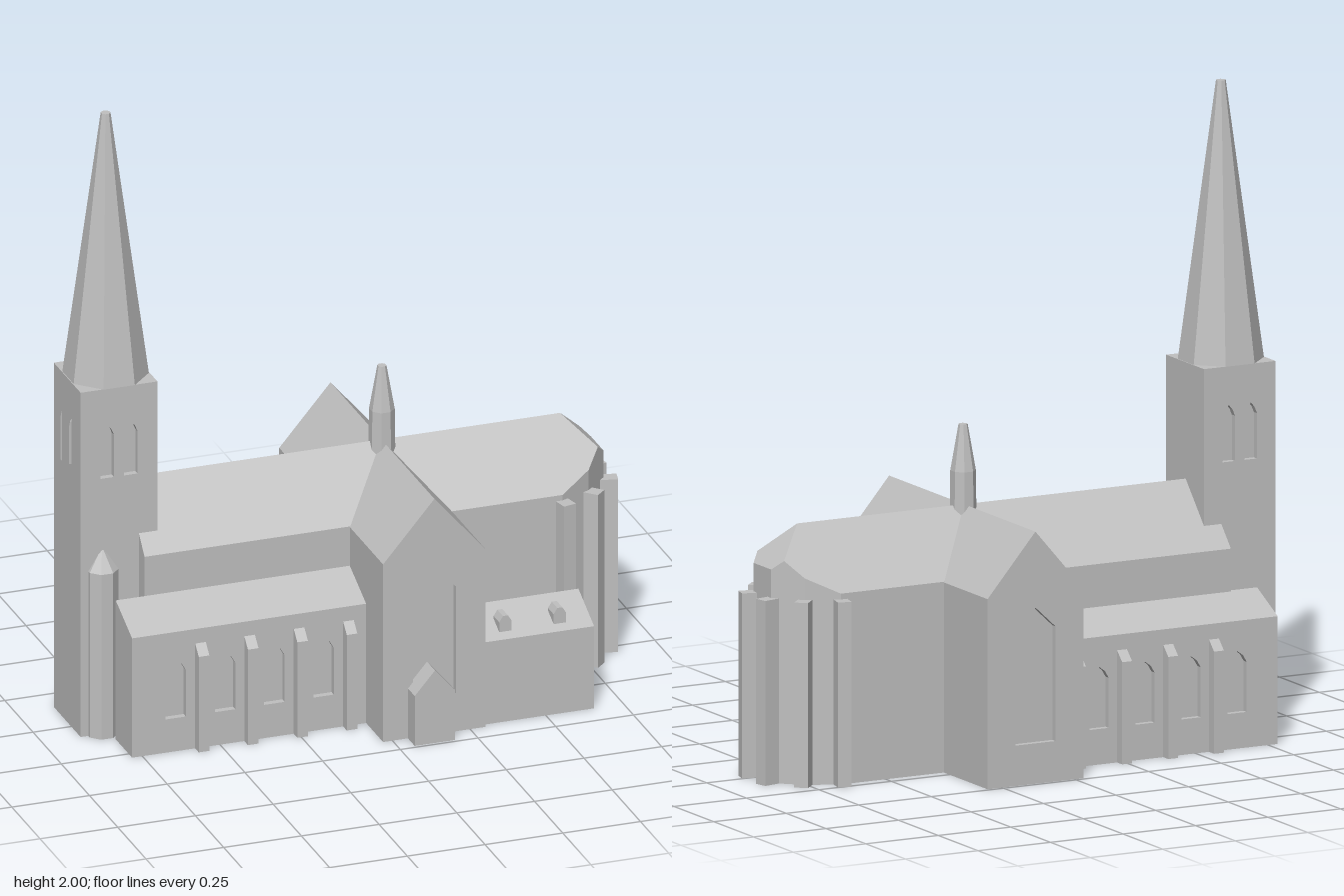
import * as THREE from 'three';

const stone = new THREE.MeshStandardMaterial({ color: 0xc0c0c0 });
stone.name = 'pale stone';

const AXIS = -0.04;   // z of the nave ridge
const CROSS = 0.135;  // x of the transept ridge
const RECESS = 0.02;  // depth of the window niches

export function createModel() {
  const model = new THREE.Group();
  model.name = 'church';

  function add(name, geometry) {
    const flat = geometry.index ? geometry.toNonIndexed() : geometry;
    flat.computeVertexNormals();
    const mesh = new THREE.Mesh(flat, stone);
    mesh.name = name;
    model.add(mesh);
    return mesh;
  }
  const polygon = (pts) => new THREE.Shape(pts.map(([a, b]) => new THREE.Vector2(a, b)));
  const extrude = (shape, depth) => new THREE.ExtrudeGeometry(shape, { depth, bevelEnabled: false });

  // (x, y) outline with optional holes, running from z0 to z1
  function alongZ(name, pts, z0, z1, holes = []) {
    const shape = polygon(pts);
    shape.holes = holes.map(polygon);
    return add(name, extrude(shape, z1 - z0).translate(0, 0, z0));
  }
  // (z, y) outline with optional holes, running from x0 to x1
  function alongX(name, pts, x0, x1, holes = []) {
    const turn = (list) => polygon(list.map(([z, y]) => [-z, y]));
    const shape = turn(pts);
    shape.holes = holes.map(turn);
    return add(name, extrude(shape, x1 - x0).rotateY(Math.PI / 2).translate(x0, 0, 0));
  }
  function box(name, x0, x1, y0, y1, z0, z1) {
    return add(name, new THREE.BoxGeometry(x1 - x0, y1 - y0, z1 - z0)
      .translate((x0 + x1) / 2, (y0 + y1) / 2, (z0 + z1) / 2));
  }
  function octagon(name, x, z, y0, y1, r0, r1) {
    return add(name, new THREE.CylinderGeometry(r1, r0, y1 - y0, 8)
      .rotateY(Math.PI / 8).translate(x, (y0 + y1) / 2, z));
  }
  const rect = (a0, a1, b0, b1) => [[a0, b0], [a1, b0], [a1, b1], [a0, b1]];
  const gable = (a0, a1, eave, peak) => [[a0, 0], [a1, 0], [a1, eave], [(a0 + a1) / 2, peak], [a0, eave]];
  // pointed-arch opening
  const lancet = (c, w, sill, spring, peak) => {
    const h = w / 2, m = spring + (peak - spring) * 0.6;
    return [[c - h, sill], [c + h, sill], [c + h, spring], [c + h * 0.6, m], [c, peak], [c - h * 0.6, m], [c - h, spring]];
  };

  // Nave and choir: gabled body ending in a faceted apse with a hipped roof
  const outline = [[-0.69, 0.175], [0.655, 0.175], [0.755, 0.13], [0.801, 0.084], [0.83, 0.055]];
  const roofY = (x, d) => Math.min(0.78 - d * 1.086, 0.78 - Math.max(0, x - 0.71));
  const low = (i, s) => [outline[i][0], 0, AXIS + s * outline[i][1]];
  const high = (i, s) => [outline[i][0], roofY(...outline[i]), AXIS + s * outline[i][1]];
  const ridgeWest = [-0.69, 0.78, AXIS], ridgeEast = [0.71, 0.78, AXIS];
  const positions = [];
  const face = (pts) => {
    for (let i = 1; i < pts.length - 1; i++) positions.push(...pts[0], ...pts[i], ...pts[i + 1]);
  };
  for (const s of [1, -1]) {
    const side = (pts) => face(s > 0 ? pts : pts.reverse());
    for (let i = 0; i < 4; i++) side([low(i, s), low(i + 1, s), high(i + 1, s), high(i, s)]);
    side([high(0, s), high(1, s), high(2, s), high(3, s), ridgeEast, ridgeWest]);
  }
  face([low(0, -1), low(0, 1), high(0, 1), ridgeWest, high(0, -1)]);
  face([low(4, 1), low(4, -1), high(4, -1), high(4, 1)]);
  face([ridgeEast, high(3, 1), high(4, 1), high(4, -1), high(3, -1)]);
  const order = [0, 1, 2, 3, 4];
  face([...order.map((i) => low(i, 1)), ...order.map((i) => low(i, -1)).reverse()].reverse());
  const body = new THREE.BufferGeometry();
  body.setAttribute('position', new THREE.Float32BufferAttribute(positions, 3));
  add('naveAndApse', body);

  // Apse buttresses, turned outwards at each wall corner
  for (const s of [1, -1]) {
    for (const [x, d, angle] of [[0.655, 0.175, 1.36], [0.755, 0.13, 0.8], [0.83, 0.055, 0.22]]) {
      add('apseButtress', new THREE.BoxGeometry(0.08, 0.572, 0.043)
        .rotateY(-s * angle)
        .translate(x + 0.002 * Math.cos(angle), 0.286, AXIS + s * (d + 0.002 * Math.sin(angle))));
    }
  }

  // Transept with a tall niche in each end wall
  const transept = gable(-0.03, 0.3, 0.588, 0.78);
  const tall = [[0.066, 0.125], [0.204, 0.125], [0.204, 0.48], [CROSS, 0.545], [0.066, 0.48]];
  alongZ('transept', transept, -0.49 + RECESS, 0.43 - RECESS);
  alongZ('transeptFrontWall', transept, 0.43 - RECESS, 0.43, [tall]);
  alongZ('transeptBackWall', transept, -0.49, -0.49 + RECESS, [tall]);

  // Porch
  alongZ('porch', gable(0.05, 0.18, 0.165, 0.24), 0.42, 0.49);

  // Aisles with lean-to roofs, lancet niches and sloped buttresses
  for (const [s, inner, outer] of [[1, 0.135, 0.28], [-1, -0.21, -0.34]]) {
    const core = outer - s * RECESS;
    alongX('aisle', [[inner, 0], [core, 0], [core, 0.395], [outer, 0.395], [inner, 0.46]], -0.783, -0.02);
    const windows = [-0.643, -0.484, -0.325, -0.167].map((x) => lancet(x, 0.066, 0.11, 0.265, 0.302));
    alongZ('aisleWall', rect(-0.783, -0.02, 0, 0.395), Math.min(core, outer), Math.max(core, outer), windows);
    for (const x of [-0.563, -0.405, -0.246, -0.087]) {
      const tip = outer + s * 0.032;
      alongX('aisleButtress', [[outer, 0], [tip, 0], [tip, 0.316], [outer, 0.347]], x - 0.017, x + 0.017);
    }
  }

  // Side chapel with two small dormers
  alongX('chapel', gable(0.135, 0.413, 0.272, 0.338), 0.29, 0.655);
  for (const x of [0.38, 0.555]) {
    const w = 0.02;
    alongZ('dormer', [[x - w, 0.285], [x + w, 0.285], [x + w, 0.318], [x + 0.008, 0.337], [x - 0.008, 0.337], [x - w, 0.318]], 0.335, 0.385);
  }

  // Tower with paired belfry niches on the front, back and west walls
  const tx0 = -0.877, tx1 = -0.63, tz0 = -0.155, tz1 = 0.083, top = 1.14;
  const tx = (tx0 + tx1) / 2, tz = (tz0 + tz1) / 2;
  const pair = (c) => [-0.038, 0.038].map((o) => lancet(c + o, 0.043, 0.845, 0.985, 1.02));
  box('tower', tx0 + RECESS, tx1, 0, top, tz0 + RECESS, tz1 - RECESS);
  alongZ('towerFrontWall', rect(tx0, tx1, 0, top), tz1 - RECESS, tz1, pair(tx));
  alongZ('towerBackWall', rect(tx0, tx1, 0, top), tz0, tz0 + RECESS, pair(tx));
  alongX('towerWestWall', rect(tz0 + RECESS, tz1 - RECESS, 0, top), tx0, tx0 + RECESS, pair(tz));
  octagon('spire', tx, tz, top, 2, 0.131, 0.015);

  // Stair turret against the tower
  octagon('stairTurret', -0.806, 0.077, 0, 0.545, 0.05, 0.05);
  octagon('stairTurretRoof', -0.806, 0.077, 0.545, 0.612, 0.05, 0.004);

  // Ridge turret over the crossing
  octagon('ridgeTurret', CROSS, AXIS + 0.005, 0.73, 0.885, 0.041, 0.039);
  octagon('ridgeTurretRoof', CROSS, AXIS + 0.005, 0.885, 1.028, 0.039, 0.014);

  return model;
}
